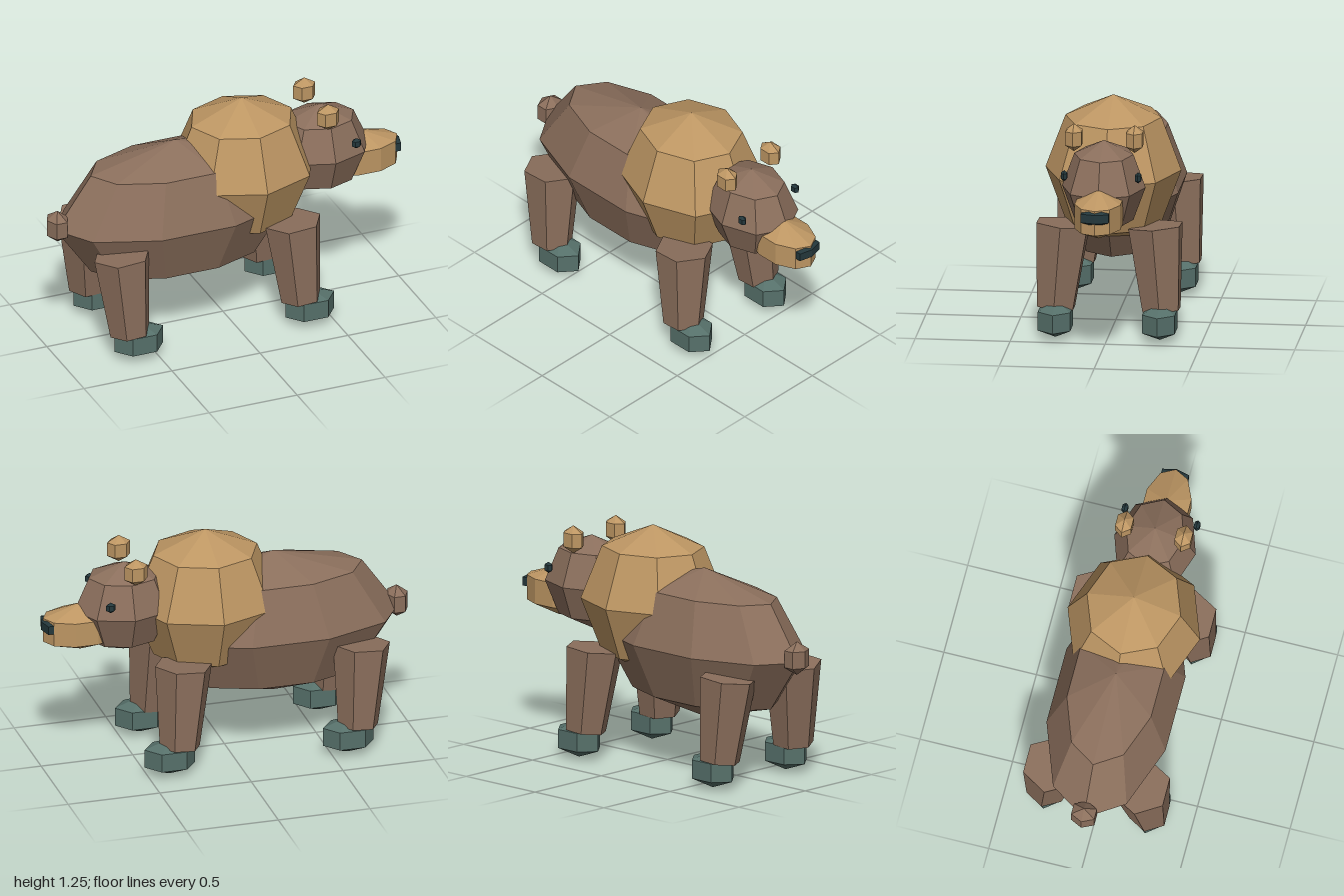
import * as THREE from 'three';

const paint = (name, color) => {
  const m = new THREE.MeshStandardMaterial({ color, flatShading: true });
  m.name = name;
  return m;
};

export function createModel() {
  const bear = new THREE.Group();
  bear.name = 'bear';

  const brown = paint('brown fur', 0x8b6f5c);
  const tan = paint('tan fur', 0xbd9663);
  const green = paint('grey green paw', 0x56706a);
  const dark = paint('dark teal', 0x24383c);

  // Faceted ellipsoid with a vertex on +x
  function blob(name, material, position, radii, around, rows) {
    const geometry = new THREE.SphereGeometry(1, around, rows).scale(...radii);
    const mesh = new THREE.Mesh(geometry, material);
    mesh.name = name;
    mesh.position.set(...position);
    bear.add(mesh);
  }

  // Tapered six-sided leg between two points
  const up = new THREE.Vector3(0, 1, 0);
  function leg(name, bottom, top) {
    const axis = top.clone().sub(bottom);
    const geometry = new THREE.CylinderGeometry(0.155, 0.109, axis.length(), 6).rotateY(Math.PI / 2);
    const mesh = new THREE.Mesh(geometry, brown);
    mesh.name = name;
    mesh.position.copy(bottom).add(top).multiplyScalar(0.5);
    mesh.quaternion.setFromUnitVectors(up, axis.normalize());
    bear.add(mesh);
  }

  // Trunk, shoulder hump and tail
  blob('body', brown, [-0.27, 0.68, 0], [0.68, 0.4, 0.338], 10, 4);
  blob('shoulderHump', tan, [0.105, 0.85, 0], [0.4, 0.4, 0.358], 8, 4);
  blob('tail', brown, [-0.94, 0.705, 0], [0.069, 0.09, 0.083], 6, 3);

  // Head, snout and nose
  blob('head', brown, [0.55, 0.87, 0], [0.27, 0.25, 0.22], 8, 4);
  blob('snout', tan, [0.785, 0.783, 0], [0.237, 0.133, 0.146], 10, 3);
  blob('nose', dark, [0.965, 0.808, 0], [0.04, 0.046, 0.097], 6, 3);

  for (const side of [1, -1]) {
    const label = side > 0 ? 'Front' : 'Back';
    // Ears and eyes
    blob('ear' + label, tan, [0.53, 1.125, side * 0.16], [0.072, 0.075, 0.057], 6, 3);
    blob('eye' + label, dark, [0.677, 0.955, side * 0.195], [0.029, 0.03, 0.021], 6, 3);

    // Legs splay outward towards the paws
    for (const [end, x] of [['fore', 0.325], ['hind', -0.647]]) {
      leg(end + 'Leg' + label,
        new THREE.Vector3(x, 0.15, side * 0.278),
        new THREE.Vector3(x - 0.03, 0.597, side * 0.243));
      blob(end + 'Paw' + label, green, [x + 0.053, 0.1, side * 0.275], [0.159, 0.1, 0.114], 6, 3);
    }
  }
  return bear;
}
